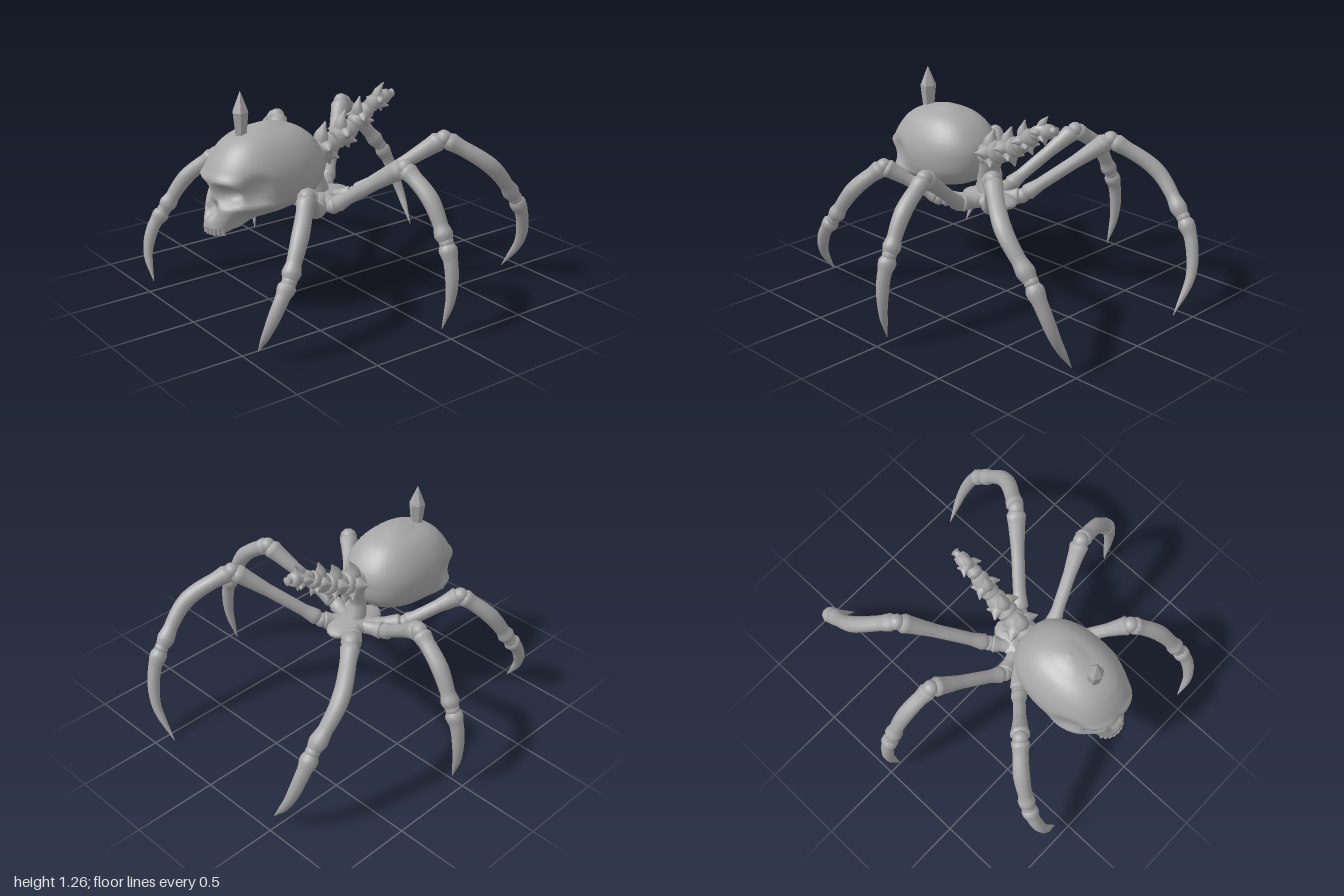
import * as THREE from 'three';
import { mergeVertices } from 'three/addons/utils/BufferGeometryUtils.js';

const bone = new THREE.MeshStandardMaterial({ color: 0xa6a6a6, side: THREE.DoubleSide });
bone.name = 'bone grey';

const lerpTable = (table, t, col = 1) => {
  let i = 1;
  while (i < table.length - 1 && table[i][0] < t) i++;
  const a = table[i - 1], b = table[i];
  const k = THREE.MathUtils.clamp((t - a[0]) / (b[0] - a[0]), 0, 1);
  return a[col] + (b[col] - a[col]) * k;
};

const smooth = (geo) => {
  geo.deleteAttribute('uv');
  geo.deleteAttribute('normal');
  const g = mergeVertices(geo, 1e-4);
  g.computeVertexNormals();
  return g;
};

const add = (parent, geo, name) => {
  const m = new THREE.Mesh(geo, bone);
  m.name = name;
  parent.add(m);
  return m;
};

// Tube along a curve whose radius follows [t, radius] pairs
function boneTube(points, radii, sides = 10, segs = 30) {
  const curve = new THREE.CatmullRomCurve3(points.map((p) => new THREE.Vector3(...p)));
  const geo = new THREE.TubeGeometry(curve, segs, 1, sides);
  const pos = geo.attributes.position, v = new THREE.Vector3();
  for (let i = 0; i <= segs; i++) {
    const c = curve.getPointAt(i / segs), r = lerpTable(radii, i / segs);
    for (let j = 0; j <= sides; j++) {
      const n = i * (sides + 1) + j;
      v.fromBufferAttribute(pos, n).sub(c).multiplyScalar(r).add(c);
      pos.setXYZ(n, v.x, v.y, v.z);
    }
  }
  return smooth(geo);
}

// Skull: horizontal rings [y, back z, front z, half width], with hollows pushed in
function buildSkull() {
  const rings = [
    [0.495, 0.80, 0.86, 0.02], [0.505, 0.74, 0.89, 0.085], [0.55, 0.64, 0.895, 0.105],
    [0.59, 0.36, 0.88, 0.155], [0.63, 0.25, 0.865, 0.20], [0.69, 0.19, 0.855, 0.24],
    [0.74, 0.17, 0.86, 0.25], [0.80, 0.165, 0.87, 0.255], [0.86, 0.17, 0.845, 0.245],
    [0.93, 0.21, 0.80, 0.215], [0.99, 0.27, 0.745, 0.17], [1.03, 0.34, 0.66, 0.115],
    [1.05, 0.41, 0.58, 0.06], [1.06, 0.48, 0.49, 0.003]];
  const at = (y, col) => {
    const d = Math.min(0.025, 1.06 - y, y - 0.495);
    return (lerpTable(rings, y - d, col) + lerpTable(rings, y, col) + lerpTable(rings, y + d, col)) / 3;
  };
  // Hollows and bumps: x, y, z, radius x, radius y, radius z, push x, push z
  const dents = [
    [0.105, 0.725, 0.82, 0.062, 0.052, 0.15, 0, -0.09],
    [0.018, 0.635, 0.86, 0.024, 0.045, 0.1, 0, -0.05],
    [0.10, 0.80, 0.82, 0.09, 0.025, 0.15, 0, 0.02],
    [0.24, 0.77, 0.70, 0.15, 0.07, 0.08, -0.03, 0],
    [0.22, 0.66, 0.68, 0.15, 0.03, 0.13, 0.025, 0],
    [0.15, 0.585, 0.68, 0.15, 0.05, 0.1, -0.04, 0]];
  const rows = 56, cols = 72, verts = [], index = [];
  for (let r = 0; r <= rows; r++) {
    const y = 0.495 + 0.565 * (0.5 - 0.5 * Math.cos((r / rows) * Math.PI));
    const zb = at(y, 1), zf = at(y, 2), w = at(y, 3);
    for (let c = 0; c < cols; c++) {
      const a = (c / cols) * Math.PI * 2, s = Math.sin(a), k = Math.cos(a);
      let x = w * Math.sign(s) * Math.abs(s) ** 0.86;
      let z = (zb + zf) / 2 + ((zf - zb) / 2) * Math.sign(k) * Math.abs(k) ** 0.86;
      const x0 = Math.abs(x), z0 = z;
      for (const [dx, dy, dz, rx, ry, rz, px, pz] of dents) {
        const d = ((x0 - dx) / rx) ** 2 + ((y - dy) / ry) ** 2 + ((z0 - dz) / rz) ** 2;
        const f = Math.exp(-(d ** 1.5));
        x += Math.sign(x) * px * f;
        z += pz * f;
      }
      verts.push(x, y, z);
    }
  }
  for (let r = 0; r < rows; r++) for (let c = 0; c < cols; c++) {
    const a = r * cols + c, b = r * cols + ((c + 1) % cols);
    index.push(a, b, a + cols, b, b + cols, a + cols);
  }
  const top = rows * cols;
  for (let c = 1; c < cols - 1; c++) index.push(0, c + 1, c, top, top + c, top + c + 1);
  const geo = new THREE.BufferGeometry();
  geo.setAttribute('position', new THREE.Float32BufferAttribute(verts, 3));
  geo.setIndex(index);
  geo.computeVertexNormals();
  const g = new THREE.Group();
  g.name = 'skull';
  add(g, geo, 'cranium');

  // Upper teeth around the front of the jaw
  for (let i = -4; i <= 4; i++) {
    const a = i * 0.3;
    const t = add(g, new THREE.CylinderGeometry(0.014, 0.011, 0.04, 6), 'tooth');
    t.position.set(0.085 * Math.sin(a), 0.518, 0.81 + 0.075 * Math.cos(a));
  }
  return g;
}

// Leg: hip bone, thigh, shin and curved claw with knobbly joints
function buildLeg(name, side, { hip, knee, shin, ankle, claw }) {
  const flip = ([x, y, z]) => [x * side, y, z];
  const path = (...pts) => pts.map(flip);
  const g = new THREE.Group();
  g.name = name;
  const root = [0.03, 0.55, 0.13];
  add(g, boneTube(path(root, hip), [[0, 0.04], [0.6, 0.04], [0.88, 0.052], [1, 0.005]]), 'hipBone');
  add(g, boneTube(path(hip, knee),
    [[0, 0.02], [0.06, 0.05], [0.2, 0.038], [0.6, 0.039], [0.85, 0.05], [0.94, 0.058], [1, 0.03]]), 'thigh');
  add(g, boneTube(path(knee, shin, ankle),
    [[0, 0.03], [0.06, 0.054], [0.18, 0.045], [0.5, 0.048], [0.8, 0.041], [0.91, 0.053], [1, 0.036]]), 'shin');
  add(g, boneTube(path(ankle, ...claw),
    [[0, 0.03], [0.06, 0.05], [0.11, 0.05], [0.18, 0.04], [0.45, 0.035], [0.75, 0.022], [1, 0.002]]), 'claw');
  // Rounded joints
  for (const [p, r] of [[hip, 0.045], [knee, 0.046], [ankle, 0.041]])
    add(g, new THREE.SphereGeometry(r, 12, 8), 'joint').position.set(...flip(p));
  return g;
}

// Tail: tapering vertebrae, each with spines above, below and to the sides
function buildTail() {
  const g = new THREE.Group();
  g.name = 'tail';
  const curve = new THREE.CatmullRomCurve3([[0, 0.81, 0.18], [0, 0.86, 0.06], [0, 0.93, -0.09], [0, 1.03, -0.23], [0, 1.075, -0.35]]
    .map((p) => new THREE.Vector3(...p)));
  const up = new THREE.Vector3(0, 1, 0), count = 4;
  for (let i = 0; i < count; i++) {
    const s = 1 - i * 0.13, t = (i + 0.5) / count, v = new THREE.Group();
    v.name = 'vertebra';
    v.position.copy(curve.getPointAt(t));
    v.quaternion.setFromUnitVectors(up, curve.getTangentAt(t));
    const profile = [[0, -0.08], [0.06, -0.08], [0.075, -0.05], [0.058, 0], [0.072, 0.05], [0.055, 0.08], [0, 0.08]];
    add(v, new THREE.LatheGeometry(profile.map(([r, y]) => new THREE.Vector2(r * s, y)), 12), 'vertebraBody');
    // In the vertebra's frame y runs along the tail and z points up and forward
    const spines = [[0, 0.07, 0.135], [0, 0.0, -0.12], [0.11, -0.03, 0.03], [-0.11, -0.03, 0.03], [0.075, 0.03, -0.07], [-0.075, 0.03, -0.07]];
    for (const [x, y, z] of spines) {
      add(v, boneTube([[0, -0.01, 0], [x * 0.5 * s, y * 0.2, z * 0.55 * s], [x * s, y, z * s]],
        [[0, 0.06 * s], [0.5, 0.042 * s], [0.8, 0.017 * s], [1, 0.004]], 8, 10), 'spine');
    }
    g.add(v);
  }
  // Slim flared end
  add(g, boneTube([[0, 1.06, -0.27], [0, 1.075, -0.33], [0, 1.08, -0.39]],
    [[0, 0.05], [0.5, 0.025], [0.85, 0.02], [0.95, 0.028], [1, 0.002]]), 'tailTip');
  return g;
}

export function createModel() {
  const model = new THREE.Group();
  model.name = 'skullSpider';
  model.add(buildSkull(), buildTail());

  // Faceted spike on the crown
  const profile = [[0.034, 0], [0.048, 0.13], [0.001, 0.245]].map(([r, y]) => new THREE.Vector2(r, y));
  const spikeGeo = new THREE.LatheGeometry(profile, 6).toNonIndexed();
  spikeGeo.computeVertexNormals();
  add(model, spikeGeo, 'crownSpike').position.set(0, 1.012, 0.66);

  // Underbody joining the legs, and the neck rising to the tail
  const body = add(model, new THREE.SphereGeometry(1, 20, 12), 'underbody');
  body.scale.set(0.11, 0.05, 0.2);
  body.position.set(0, 0.555, 0.14);
  add(model, boneTube([[0, 0.55, 0.14], [0, 0.68, 0.17], [0, 0.82, 0.14]], [[0, 0.07], [0.5, 0.05], [1, 0.06]]), 'neck');

  const legs = {
    front: { hip: [0.23, 0.57, 0.33], knee: [0.455, 0.765, 0.55], shin: [0.58, 0.62, 0.68], ankle: [0.65, 0.42, 0.80],
      claw: [[0.665, 0.32, 0.87], [0.64, 0.18, 0.925], [0.56, 0.03, 0.94]] },
    middle: { hip: [0.2, 0.56, 0.19], knee: [0.61, 0.865, 0.02], shin: [0.79, 0.73, -0.01], ankle: [0.91, 0.52, -0.025],
      claw: [[0.955, 0.40, -0.025], [0.965, 0.22, -0.02], [0.925, 0.03, 0.0]] },
    back: { hip: [0.13, 0.57, 0.0], knee: [0.48, 0.925, -0.37], shin: [0.63, 0.75, -0.60], ankle: [0.63, 0.52, -0.80],
      claw: [[0.625, 0.41, -0.865], [0.57, 0.21, -0.92], [0.435, 0.0, -0.91]] },
  };
  for (const [name, leg] of Object.entries(legs))
    for (const side of [1, -1]) model.add(buildLeg(name + (side > 0 ? 'LeftLeg' : 'RightLeg'), side, leg));
  return model;
}
